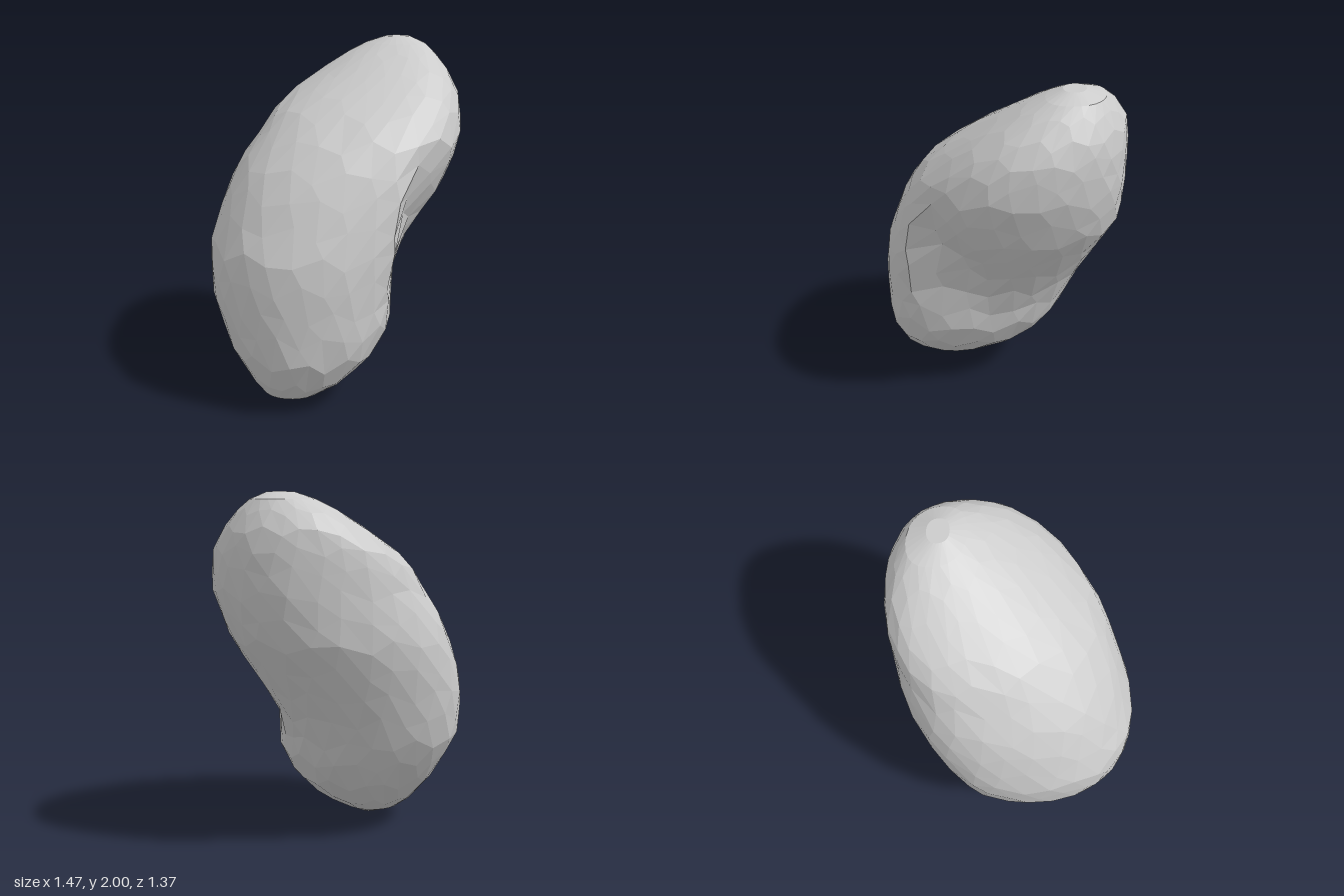
import * as THREE from 'three';

// Leaning bean: level outlines as [y, xMin, xMax, zMin, zMax, skew]
const LEVELS = [
  [0, -0.34, -0.24, 0.23, 0.32, 0],
  [0.055, -0.46, -0.12, 0.09, 0.49, 0.05],
  [0.16, -0.545, 0.06, -0.1, 0.6, 0.05],
  [0.32, -0.635, 0.22, -0.28, 0.68, 0.02],
  [0.47, -0.69, 0.3, -0.39, 0.685, 0.05],
  [0.6, -0.735, 0.315, -0.465, 0.685, 0.07],
  [0.75, -0.738, 0.365, -0.52, 0.685, 0.04],
  [0.9, -0.735, 0.445, -0.575, 0.67, 0],
  [1.05, -0.68, 0.535, -0.63, 0.62, 0],
  [1.2, -0.62, 0.63, -0.68, 0.57, -0.02],
  [1.33, -0.55, 0.68, -0.685, 0.515, 0],
  [1.47, -0.435, 0.73, -0.685, 0.435, 0.04],
  [1.6, -0.34, 0.735, -0.685, 0.3, 0.1],
  [1.7, -0.22, 0.73, -0.68, 0.18, 0.16],
  [1.8, -0.06, 0.69, -0.66, 0.05, 0.2],
  [1.9, 0.1, 0.62, -0.59, -0.1, 0.22],
  [1.96, 0.22, 0.56, -0.53, -0.21, 0.2],
  [2, 0.33, 0.47, -0.42, -0.3, 0.1],
];
const SIDES = 26;
const LAST = LEVELS.length - 1;

// Outline at a fractional level
function outlineAt(u) {
  const i = Math.min(Math.floor(u), LAST - 1);
  return LEVELS[i].map((v, k) => THREE.MathUtils.lerp(v, LEVELS[i + 1][k], u - i));
}

// Depth of the notch on the inner side: sharp lip on one edge, fading on the other
function notchDepth(d, n, y) {
  if (n < 0.1) return 0;
  const lip = THREE.MathUtils.smoothstep(d, -0.13, -0.02);
  const fade = 1 - THREE.MathUtils.smoothstep(d, 0.08, 0.4);
  return 0.12 * lip * fade * Math.exp(-(((y - 1.02) / 0.34) ** 2));
}

function beanGeometry() {
  const pos = [], index = [];
  for (let i = 0; i <= LAST; i++) {
    for (let j = 0; j < SIDES; j++) {
      // staggered rings that wander up and down give an irregular faceted skin
      const wander = i > 1 && i < LAST - 1 ? 0.27 * Math.sin(j * 2.4 + i * 1.7) : 0;
      const [y, x0, x1, z0, z1, skew] = outlineAt(i + wander);
      const t = ((j + (i % 2) / 2) / SIDES) * Math.PI * 2;
      const full = 1 + 0.045 * Math.sin(2 * t) ** 2;
      const c = Math.cos(t) * full, s = Math.sin(t) * full;
      const x = (x0 + x1) / 2 + ((x1 - x0) / 2) * c;
      const z = (z0 + z1) / 2 + ((z1 - z0) / 2) * (skew * c + Math.sqrt(1 - skew * skew) * s);
      const dent = notchDepth((x - z) * Math.SQRT1_2, (x + z) * Math.SQRT1_2, y) * Math.SQRT1_2;
      pos.push(x - dent, y, z - dent);
    }
  }

  // skin between levels
  for (let i = 0; i < LAST; i++) {
    for (let j = 0; j < SIDES; j++) {
      const k = (j + 1) % SIDES;
      const a = i * SIDES + j, b = i * SIDES + k;
      const c = a + SIDES, d = b + SIDES;
      if (i % 2) index.push(a, d, b, a, c, d);
      else index.push(a, c, b, b, c, d);
    }
  }

  // flat end caps
  const top = LAST * SIDES;
  for (let j = 1; j < SIDES - 1; j++) {
    index.push(0, j, j + 1);
    index.push(top, top + j + 1, top + j);
  }

  const geo = new THREE.BufferGeometry();
  geo.setAttribute('position', new THREE.Float32BufferAttribute(pos, 3));
  geo.setIndex(index);
  const flat = geo.toNonIndexed();
  flat.computeVertexNormals();
  return flat;
}

export function createModel() {
  const group = new THREE.Group();
  const material = new THREE.MeshStandardMaterial({ color: 0xcccccc, flatShading: true });
  const body = new THREE.Mesh(beanGeometry(), material);
  body.name = 'notchedBeanBody';
  group.add(body);
  return group;
}
